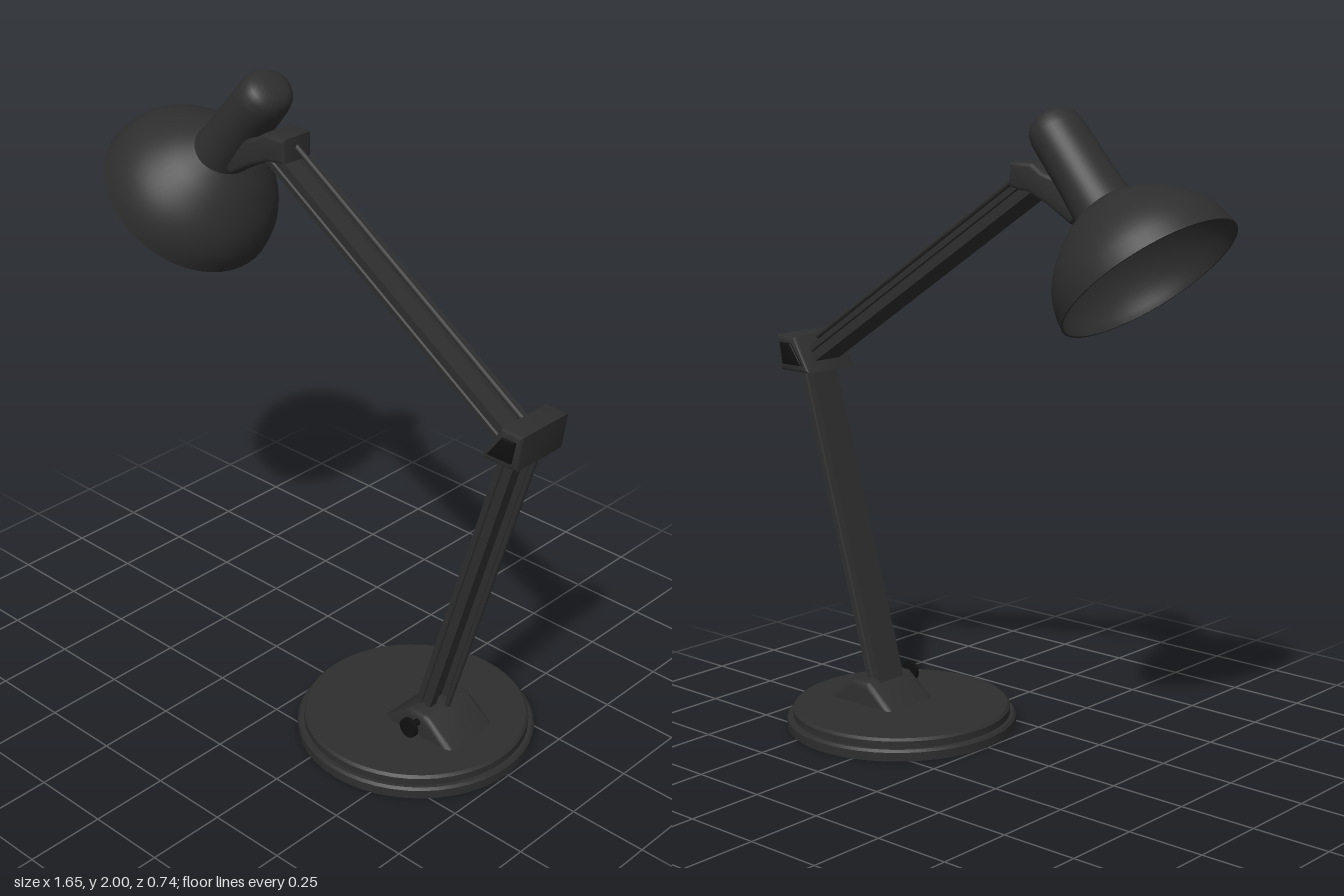
import * as THREE from 'three';
import { toCreasedNormals } from 'three/addons/utils/BufferGeometryUtils.js';

const dark = new THREE.MeshStandardMaterial({ color: 0x2e2e2e });
const black = new THREE.MeshStandardMaterial({ color: 0x101010 });
const vecs = (pts) => pts.map(([x, y]) => new THREE.Vector2(x, y));

function add(parent, name, geometry, material = dark) {
  const mesh = new THREE.Mesh(geometry, material);
  mesh.name = name;
  parent.add(mesh);
  return mesh;
}

function lathe(pts, crease = 0.6) {
  return toCreasedNormals(new THREE.LatheGeometry(vecs(pts), 48), crease);
}

// Outline in the xy plane, extruded evenly to both sides with bevelled edges
function prism(pts, halfDepth, bevel) {
  const geometry = new THREE.ExtrudeGeometry(new THREE.Shape(vecs(pts)), {
    depth: 2 * (halfDepth - bevel), bevelEnabled: bevel > 0, bevelThickness: bevel,
    bevelSize: bevel, bevelOffset: -bevel, bevelSegments: 3,
  });
  geometry.translate(0, 0, -(halfDepth - bevel));
  return toCreasedNormals(geometry, 0.6);
}

// Grooved bar with a thin tension rod running beside it, from a to b
function makeArm(name, a, b, rodOffset, rodStart, rodEnd) {
  const arm = new THREE.Group();
  arm.name = name;
  const start = new THREE.Vector3(...a, 0);
  const dir = new THREE.Vector3(...b, 0).sub(start);
  const length = dir.length();
  dir.normalize();
  const side = new THREE.Vector3(0, 0, 1);
  arm.matrix.makeBasis(side, dir.clone().cross(side), dir).setPosition(start);
  arm.matrix.decompose(arm.position, arm.quaternion, arm.scale);

  // cross-section: channel open towards the rod, shallow groove on each side
  const half = [[0.055, -0.027], [0.055, -0.009], [0.049, -0.006], [0.049, 0.006],
    [0.055, 0.009], [0.055, 0.027], [0.026, 0.027], [0.022, 0.008]];
  const mirrored = half.map(([x, y]) => [-x, y]).reverse();
  const section = new THREE.Shape(vecs([...half, ...mirrored]));
  add(arm, name + 'Bar', new THREE.ExtrudeGeometry(section, { depth: length, bevelEnabled: false }));

  const rodLength = length - rodStart - rodEnd;
  const rod = add(arm, name + 'Rod', new THREE.CylinderGeometry(0.009, 0.009, rodLength, 12));
  rod.rotation.x = Math.PI / 2;
  rod.position.set(0, rodOffset, rodStart + rodLength / 2);
  return arm;
}

export function createModel() {
  const lamp = new THREE.Group();
  lamp.name = 'deskLamp';

  // Stepped round base
  const base = add(lamp, 'base', lathe([[0, 0], [0.372, 0], [0.372, 0.028], [0.365, 0.036],
    [0.353, 0.036], [0.353, 0.058], [0.345, 0.066], [0, 0.066]]));
  base.position.x = 0.372;

  // Pivot mount on the base
  add(lamp, 'baseMount', prism([[0.32, 0.055], [0.61, 0.055], [0.595, 0.07], [0.51, 0.135],
    [0.49, 0.143], [0.43, 0.143], [0.41, 0.13], [0.335, 0.072]], 0.105, 0.018));

  // Tightening knob on the front of the mount
  const knob = new THREE.Group();
  knob.name = 'knob';
  knob.position.set(0.47, 0.115, 0);
  for (const [name, radius, length, z] of [['knobStem', 0.011, 0.06, 0.115], ['knobHead', 0.032, 0.014, 0.145]]) {
    const part = add(knob, name, new THREE.CylinderGeometry(radius, radius, length, 24), black);
    part.rotation.x = Math.PI / 2;
    part.position.z = z;
  }
  lamp.add(knob);

  // Arms
  lamp.add(makeArm('lowerArm', [0.43, 0.085], [0.746, 1.167], 0.052, 0.03, 0));
  lamp.add(makeArm('upperArm', [0.735, 1.166], [-0.2, 1.779], 0.057, 0, 0.03));

  // Elbow housing with a dark inset plate on each side
  const elbow = [[0.672, 1.128], [0.803, 1.128], [0.821, 1.242], [0.742, 1.242]];
  add(lamp, 'elbowHousing', prism(elbow, 0.105, 0.012));
  const plate = [[0.7, 1.15], [0.787, 1.15], [0.8, 1.22], [0.752, 1.22]];
  add(lamp, 'elbowPlates', prism(plate, 0.112, 0.004), black);

  // Bracket joining the upper arm to the lamp head
  add(lamp, 'headBracket', prism([[-0.132, 1.84], [-0.215, 1.84], [-0.255, 1.815], [-0.31, 1.8],
    [-0.4, 1.7], [-0.36, 1.672], [-0.27, 1.725], [-0.2, 1.755], [-0.132, 1.765]], 0.06, 0.013));

  // Lamp head, modelled upright and tilted about the rim centre
  const head = new THREE.Group();
  head.name = 'lampHead';
  head.position.set(-0.605, 1.53, 0);
  head.rotation.z = -Math.atan2(0.643, 0.765);
  lamp.add(head);

  const dome = new THREE.SplineCurve(vecs([[0.287, 0], [0.277, 0.06], [0.25, 0.118],
    [0.207, 0.17], [0.15, 0.219], [0.085, 0.256]])).getPoints(20).map((p) => [p.x, p.y]);
  const inside = dome.map(([x, y]) => [x - 0.006, Math.max(0, y - 0.006)]).reverse();
  add(head, 'shade', lathe([[0, 0.252], ...inside, ...dome]));

  const neck = add(head, 'socketHousing', lathe([[0.092, 0.235], [0.086, 0.28], [0.082, 0.36],
    [0.08, 0.48], [0.079, 0.52], [0.074, 0.548], [0.062, 0.567], [0.045, 0.577], [0.022, 0.581], [0, 0.582]], 0.9));
  neck.position.x = 0.004;
  neck.scale.z = 1.15;

  return lamp;
}
